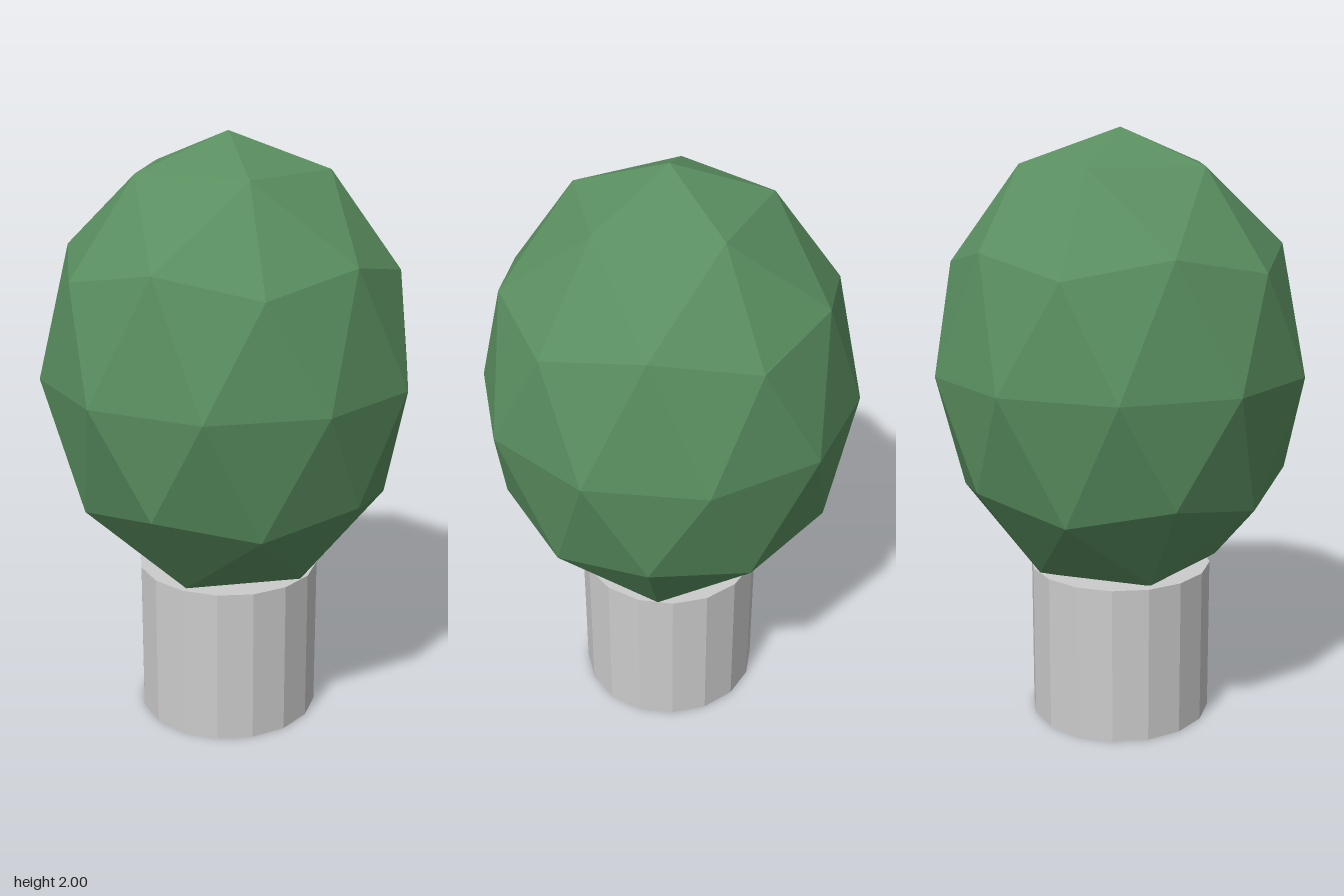
import * as THREE from 'three';

export function createModel() {
  const group = new THREE.Group();

  // Trunk: flat-sided cylinder
  const trunkHeight = 0.535;
  const trunk = new THREE.Mesh(
    new THREE.CylinderGeometry(0.31, 0.31, trunkHeight, 16),
    new THREE.MeshStandardMaterial({ color: 0xcccccc, flatShading: true })
  );
  trunk.name = 'trunk';
  trunk.position.y = trunkHeight / 2;
  group.add(trunk);

  // Crown: faceted sphere with a corner at the top, stretched upwards
  const crownGeometry = new THREE.IcosahedronGeometry(1, 1);
  crownGeometry.rotateZ(-Math.atan(2 / (1 + Math.sqrt(5))));
  crownGeometry.scale(0.624, 0.78, 0.624);
  const crown = new THREE.Mesh(
    crownGeometry,
    new THREE.MeshStandardMaterial({ color: 0x5a8f60, flatShading: true })
  );
  crown.name = 'crown';
  crown.position.y = 1.22;
  group.add(crown);

  return group;
}
